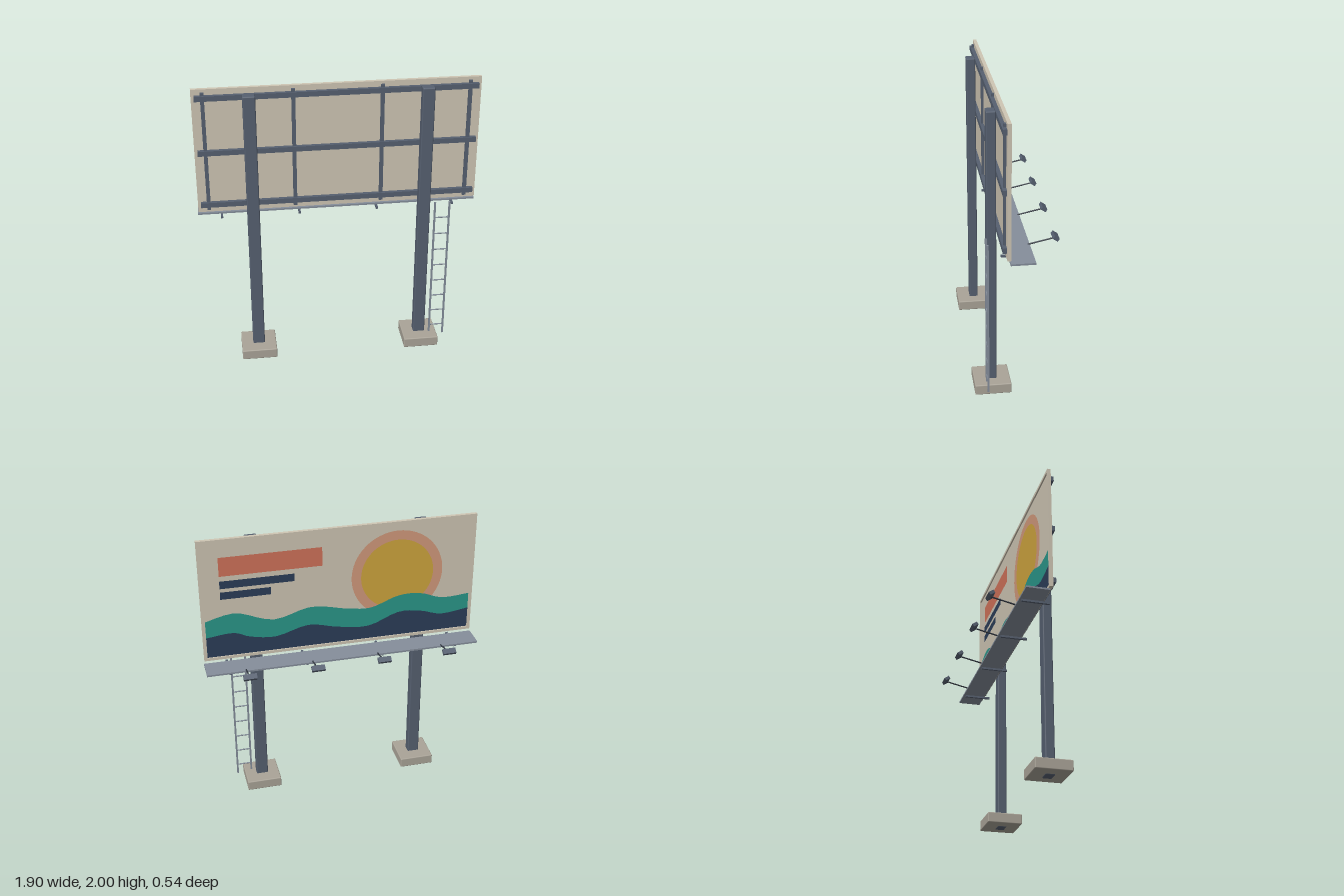
import * as THREE from 'three';
import { RoundedBoxGeometry } from 'three/addons/geometries/RoundedBoxGeometry.js';

const mat = (name, color) => {
  const m = new THREE.MeshStandardMaterial({ color });
  m.name = name;
  return m;
};

export function createModel() {
  const steel = mat('blue grey steel', 0x566070);
  const galvanised = mat('light grey metal', 0x858e9b);
  const darkMetal = mat('dark metal', 0x343a44);
  const concrete = mat('concrete', 0xaaa498);
  const cream = mat('cream panel', 0xcfc6b4);
  const red = mat('brick red', 0xd0725a);
  const navy = mat('navy', 0x2b3d58);
  const teal = mat('teal', 0x2a978a);
  const gold = mat('gold', 0xcfa53e);
  const peach = mat('peach', 0xd29a7c);

  const model = new THREE.Group();
  model.name = 'billboard';

  const add = (name, geometry, material, x, y, z, parent = model) => {
    const mesh = new THREE.Mesh(geometry, material);
    mesh.name = name;
    mesh.position.set(x, y, z);
    parent.add(mesh);
    return mesh;
  };
  const box = (name, material, w, h, d, x, y, z, parent) =>
    add(name, new THREE.BoxGeometry(w, h, d), material, x, y, z, parent);
  // Round bar between two points
  const rod = (name, material, r, a, b, parent) => {
    const dir = b.clone().sub(a);
    const mid = a.clone().add(b).multiplyScalar(0.5);
    const m = add(name, new THREE.CylinderGeometry(r, r, dir.length(), 8), material, mid.x, mid.y, mid.z, parent);
    m.quaternion.setFromUnitVectors(new THREE.Vector3(0, 1, 0), dir.normalize());
    return m;
  };

  // Footings and posts
  for (const x of [-0.58, 0.58]) {
    add('footing', new RoundedBoxGeometry(0.245, 0.073, 0.245, 2, 0.007), concrete, x, 0.0425, 0.148);
    add('post', new RoundedBoxGeometry(0.083, 1.97, 0.063, 2, 0.008), steel, x, 0.985, 0.148);
  }

  // Panel with a raised rim on the poster side
  box('panel', cream, 1.89, 0.88, 0.014, 0, 1.56, 0.083);
  for (const s of [-1, 1]) {
    box('sideRim', cream, 0.02, 0.88, 0.012, s * 0.935, 1.56, 0.072);
    box('endRim', cream, 1.85, 0.02, 0.012, 0, 1.56 + s * 0.43, 0.072);
  }

  // Support grid behind the panel
  for (const y of [1.18, 1.56, 1.943]) box('frameRail', steel, 1.85, 0.035, 0.026, 0, y, 0.103);
  for (const x of [-0.873, -0.292, 0.29, 0.87]) box('frameUpright', steel, 0.025, 0.84, 0.016, x, 1.56, 0.098);

  // Painted poster; its own x runs left to right as it is read
  const poster = new THREE.Group();
  poster.name = 'poster';
  poster.rotation.y = Math.PI;
  poster.position.z = 0.076;
  model.add(poster);
  const layer = (name, shape, material, level) =>
    add(name, new THREE.ShapeGeometry(shape, 32), material, 0, 0, 0.0012 * level, poster);
  const poly = (pts) => new THREE.Shape(pts.map(([x, y]) => new THREE.Vector2(x, y)));
  const bar = (x0, x1, y0, y1) => poly([[x0, y0], [x1, y0], [x1, y1], [x0, y1]]);
  const disc = (r) => new THREE.Shape().absarc(0.4, 1.612, r, 0, Math.PI * 2);

  layer('headlineBar', bar(-0.81, -0.12, 1.735, 1.87), red, 1);
  layer('longTextBar', bar(-0.81, -0.31, 1.645, 1.7), navy, 1);
  layer('shortTextBar', bar(-0.81, -0.47, 1.567, 1.62), navy, 1);
  layer('sunGlow', disc(0.32), peach, 1);
  layer('sun', disc(0.254), gold, 2);

  // Hills: smooth ridge lines closed along the poster's lower edge
  const hill = (name, ridge, material, level) => {
    const curve = new THREE.SplineCurve(ridge.map(([x, y]) => new THREE.Vector2(x, y)));
    const pts = curve.getPoints(40).map((p) => [p.x, p.y]);
    layer(name, poly([[-0.922, 1.142], [0.922, 1.142], ...pts.reverse()]), material, level);
  };
  hill('farHill', [[-0.922, 1.414], [-0.715, 1.456], [-0.461, 1.376], [-0.2, 1.438], [0.055, 1.392],
    [0.22, 1.38], [0.41, 1.447], [0.57, 1.446], [0.73, 1.394], [0.922, 1.404]], teal, 3);
  hill('nearHill', [[-0.922, 1.292], [-0.74, 1.31], [-0.62, 1.266], [-0.445, 1.245], [-0.223, 1.303],
    [-0.024, 1.262], [0.198, 1.24], [0.41, 1.319], [0.57, 1.31], [0.73, 1.266], [0.922, 1.29]], navy, 4);

  // Service walkway on brackets
  box('walkway', galvanised, 1.9, 0.012, 0.158, 0, 1.094, -0.009);
  for (const x of [-0.79, -0.265, 0.265, 0.79])
    box('walkwayBracket', steel, 0.015, 0.014, 0.185, x, 1.081, 0.018);

  // Lamps on arms, aimed at the poster
  for (const x of [-0.685, -0.228, 0.228, 0.685]) {
    const lamp = new THREE.Group();
    lamp.name = 'lamp';
    lamp.position.x = x;
    model.add(lamp);
    rod('lampArm', darkMetal, 0.005, new THREE.Vector3(0, 1.1, -0.075), new THREE.Vector3(0, 1.137, -0.245), lamp);
    const head = box('lampHead', steel, 0.09, 0.022, 0.038, 0, 1.147, -0.25, lamp);
    head.rotation.x = -0.6;
  }

  // Ladder
  const ladder = new THREE.Group();
  ladder.name = 'ladder';
  model.add(ladder);
  for (const x of [0.652, 0.752]) box('ladderRail', galvanised, 0.012, 1.08, 0.012, x, 0.6, 0.188, ladder);
  for (let i = 0; i < 8; i++) {
    const y = 0.135 + i * 0.1265;
    rod('rung', galvanised, 0.0045, new THREE.Vector3(0.652, y, 0.188), new THREE.Vector3(0.752, y, 0.188), ladder);
  }

  return model;
}
